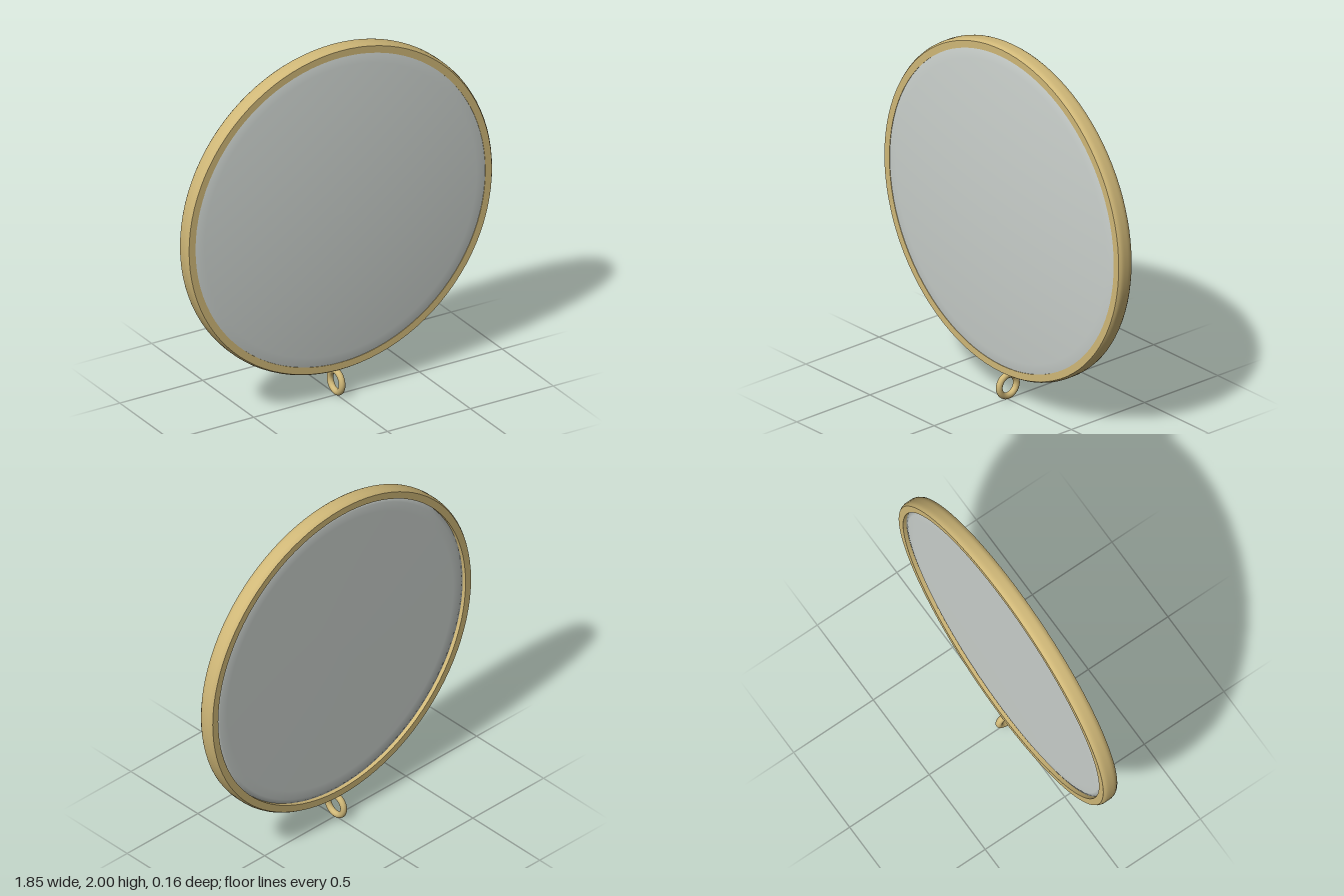
import * as THREE from 'three';

export function createModel() {
  const gold = new THREE.MeshStandardMaterial({ color: 0xd0b878 });
  gold.name = 'gold';
  const glass = new THREE.MeshStandardMaterial({ color: 0xcad0cc });
  glass.name = 'pale glass';

  const model = new THREE.Group();
  model.name = 'lens';
  const centreY = 1.075;

  // Turned part whose axis points to the front; profile points are [radius, z]
  function turned(name, profile, material) {
    const points = profile.map(([r, z]) => new THREE.Vector2(r, z));
    const geometry = new THREE.LatheGeometry(points, 96);
    geometry.rotateX(Math.PI / 2);
    const mesh = new THREE.Mesh(geometry, material);
    mesh.name = name;
    mesh.position.y = centreY;
    model.add(mesh);
  }

  // Frame: crowned outer band, flat front and back (doubled points keep corners sharp)
  const band = [];
  for (let i = 0; i <= 8; i++) {
    const t = i / 4 - 1;
    band.push([0.925 - 0.011 * t ** 4, -0.005 + 0.044 * t]);
  }
  const back = -0.049, front = 0.039, inner = 0.875;
  turned('frame', [
    [inner, back], [0.914, back],
    ...band,
    [0.914, front], [inner, front],
    [inner, front], [inner, back],
  ], gold);

  // Glass: flat recessed back with softened edge, shallow dome in front
  const dome = [];
  for (let i = 0; i <= 16; i++) {
    const r = 0.876 * (1 - i / 16);
    dome.push([r, 0.079 - 0.043 * (r / 0.876) ** 2]);
  }
  turned('glass', [
    [0, -0.038], [0.8, -0.037], [0.85, -0.034], [0.876, -0.027],
    [0.876, 0.03], ...dome,
  ], glass);

  // Hanging ring under the frame, seen edge-on from the front
  const ring = new THREE.Mesh(new THREE.TorusGeometry(0.0585, 0.0175, 16, 48), gold);
  ring.name = 'ring';
  ring.rotation.y = Math.PI / 2;
  ring.position.set(0, 0.076, -0.004);
  model.add(ring);

  return model;
}
